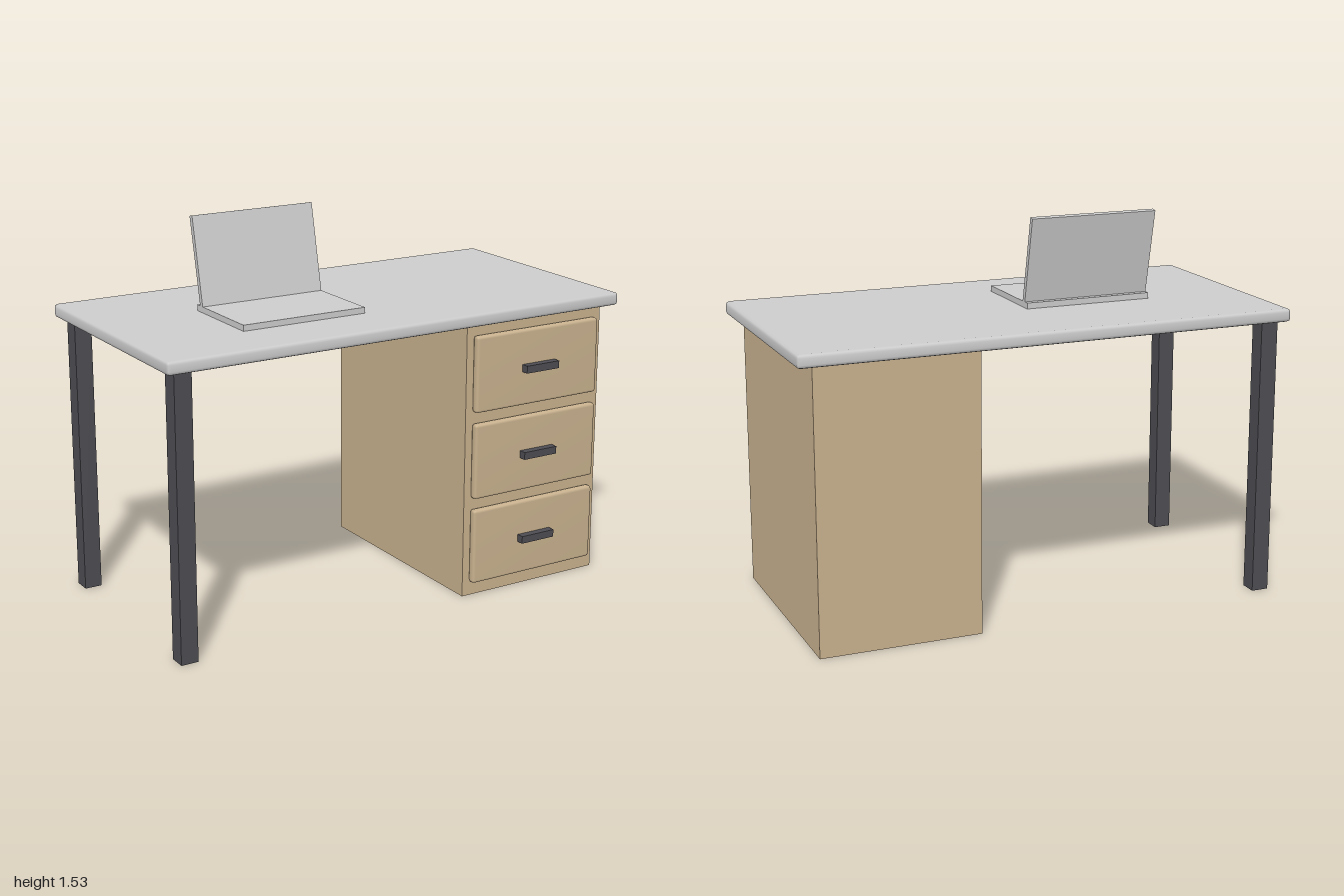
import * as THREE from 'three';
import { mergeVertices } from 'three/addons/utils/BufferGeometryUtils.js';
import { RoundedBoxGeometry } from 'three/addons/geometries/RoundedBoxGeometry.js';

function material(name, color) {
  const m = new THREE.MeshStandardMaterial({ color });
  m.name = name;
  return m;
}

// Box with a narrow bevel and normals that blend over the edges
function softBox(w, h, d, bevel) {
  const g = new RoundedBoxGeometry(w, h, d, 1, bevel);
  g.deleteAttribute('normal');
  g.deleteAttribute('uv');
  const merged = mergeVertices(g, 1e-4);
  merged.clearGroups();
  merged.computeVertexNormals();
  return merged;
}

export function createModel() {
  const group = new THREE.Group();
  group.name = 'desk';

  const lightGrey = material('light grey', 0xcccccc);
  const wood = material('wood', 0xc8b18e);
  const darkMetal = material('dark metal', 0x4c4c52);

  const add = (name, geometry, mat, x, y, z, parent = group) => {
    const mesh = new THREE.Mesh(geometry, mat);
    mesh.name = name;
    mesh.position.set(x, y, z);
    parent.add(mesh);
    return mesh;
  };

  // Desk top
  add('deskTop', softBox(2, 0.053, 1, 0.014), lightGrey, 0, 1.14, -0.012);

  // Two legs on the right-hand side
  const legGeometry = new THREE.BoxGeometry(0.07, 1.113, 0.07);
  add('frontLeg', legGeometry, darkMetal, -0.925, 0.5565, 0.417);
  add('backLeg', legGeometry, darkMetal, -0.925, 0.5565, -0.441);

  // Drawer cabinet
  add('cabinet', new THREE.BoxGeometry(0.646, 1.113, 0.927), wood, 0.613, 0.5565, -0.012);

  // Drawer fronts with bar handles
  const drawerGeometry = softBox(0.586, 0.308, 0.036, 0.012);
  const handleGeometry = new THREE.BoxGeometry(0.156, 0.03, 0.034);
  for (let i = 0; i < 3; i++) {
    const y = 0.211 + i * 0.354;
    add('drawerFront', drawerGeometry, wood, 0.613, y, 0.465);
    add('drawerHandle', handleGeometry, darkMetal, 0.613, y, 0.497);
  }

  // Open laptop: flat base and a screen leaning back
  const laptop = new THREE.Group();
  laptop.name = 'laptop';
  laptop.position.set(-0.31, 1.166, 0);
  group.add(laptop);
  add('laptopBase', new THREE.BoxGeometry(0.526, 0.024, 0.37), lightGrey, 0, 0.012, 0.066, laptop);
  const screen = add('laptopScreen', new THREE.BoxGeometry(0.526, 0.35, 0.021),
    lightGrey, 0, 0.192, -0.12, laptop);
  screen.rotation.x = -0.21;

  return group;
}
